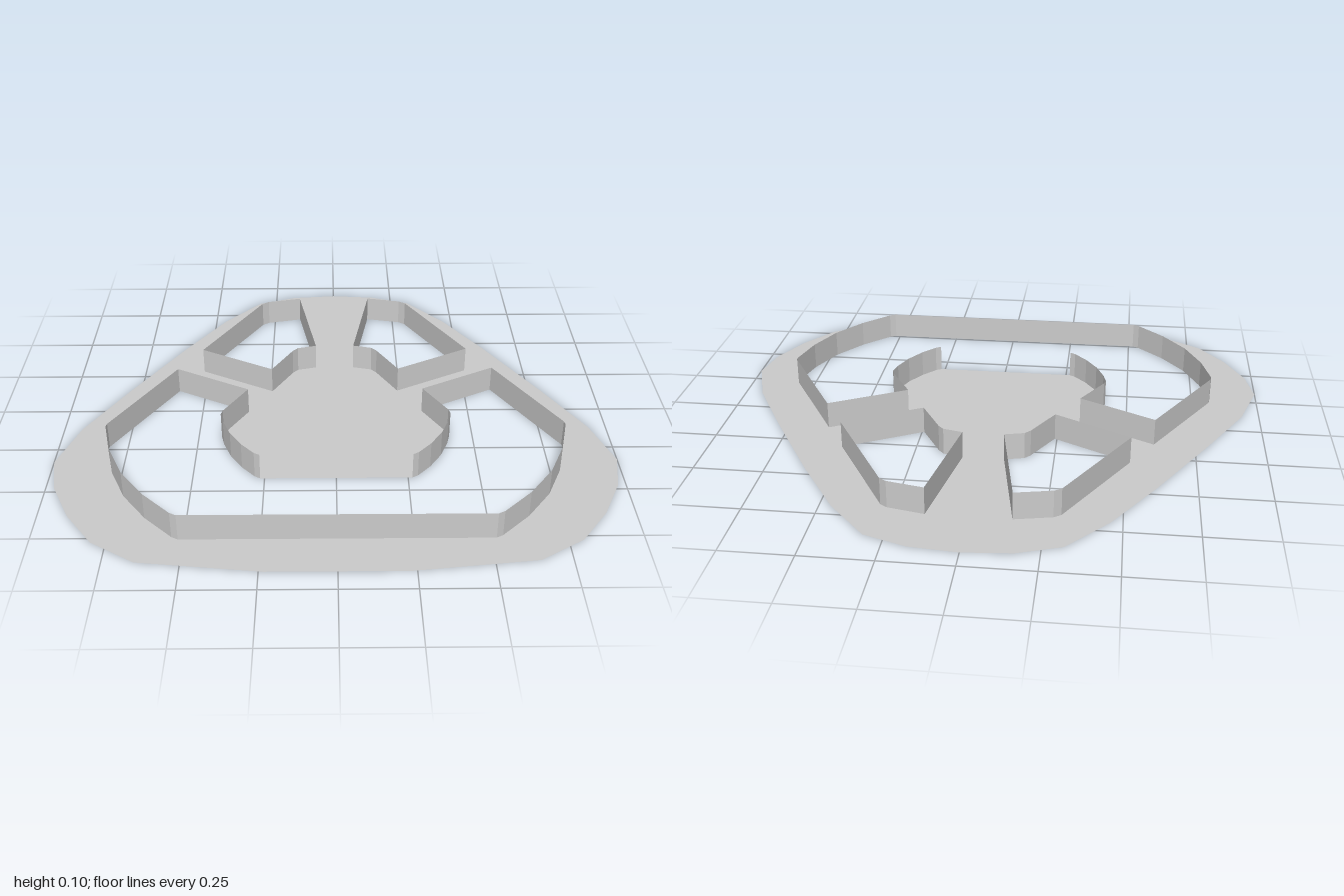
import * as THREE from 'three';

const WALL_HEIGHT = 0.1;
const material = new THREE.MeshStandardMaterial({
  color: 0xcccccc, flatShading: true, side: THREE.DoubleSide,
});

// Outlines as [x, z] on the +x half
const rimHalf = [
  [0, -0.925], [0.17, -0.91], [0.32, -0.857], [0.46, -0.697], [0.61, -0.46], [0.8, -0.13],
  [0.935, 0.12], [1, 0.326], [0.973, 0.476], [0.9, 0.632], [0.8, 0.77], [0.647, 0.869], [0.235, 0.917],
];
const backHole = [
  [0.144, -0.713], [0.275, -0.685], [0.3, -0.668], [0.518, -0.287], [0.242, -0.138],
  [0.165, -0.275], [0.145, -0.297], [0.074, -0.315],
];
// Front opening: from the hub's flat edge, round the spoke, to the rim's flat edge
const frontHoleHalf = [
  [0.265, 0.428], [0.285, 0.416], [0.332, 0.363], [0.375, 0.295], [0.405, 0.22], [0.416, 0.172], [0.41, 0.15],
  [0.326, 0.006], [0.602, -0.142], [0.817, 0.232], [0.82, 0.25], [0.786, 0.39], [0.727, 0.525],
  [0.64, 0.645], [0.54, 0.745], [0.518, 0.757],
];

const mirror = (points) => points.map(([x, z]) => [-x, z]).reverse();
const toVectors = (points) => points.map(([x, z]) => new THREE.Vector2(x, -z));

// Thin upright strip following a line of points
function wall(name, points) {
  const positions = [];
  const index = [];
  points.forEach(([x, z], i) => {
    positions.push(x, 0, z, x, WALL_HEIGHT, z);
    if (i > 0) {
      const a = 2 * (i - 1);
      index.push(a, a + 2, a + 3, a, a + 3, a + 1);
    }
  });
  const geometry = new THREE.BufferGeometry();
  geometry.setAttribute('position', new THREE.Float32BufferAttribute(positions, 3));
  geometry.setIndex(index);
  const flat = geometry.toNonIndexed();
  flat.computeVertexNormals();
  const mesh = new THREE.Mesh(flat, material);
  mesh.name = name;
  return mesh;
}

export function createModel() {
  const group = new THREE.Group();
  group.name = 'spokedFrame';

  const frontHole = [...frontHoleHalf, ...mirror(frontHoleHalf)];
  const holes = [backHole, mirror(backHole), frontHole];

  // Flat sheet forming rim, spokes and hub
  const shape = new THREE.Shape(toVectors([...rimHalf, ...mirror(rimHalf.slice(1))]));
  holes.forEach((hole) => shape.holes.push(new THREE.Path(toVectors(hole))));
  const plate = new THREE.Mesh(new THREE.ShapeGeometry(shape).rotateX(-Math.PI / 2), material);
  plate.name = 'plate';
  group.add(plate);

  // Upright walls round the openings; the hub's flat front edge stays open
  group.add(
    wall('leftBackOpeningWall', [...backHole, backHole[0]]),
    wall('rightBackOpeningWall', [...holes[1], holes[1][0]]),
    wall('frontOpeningWall', frontHole),
  );
  return group;
}
